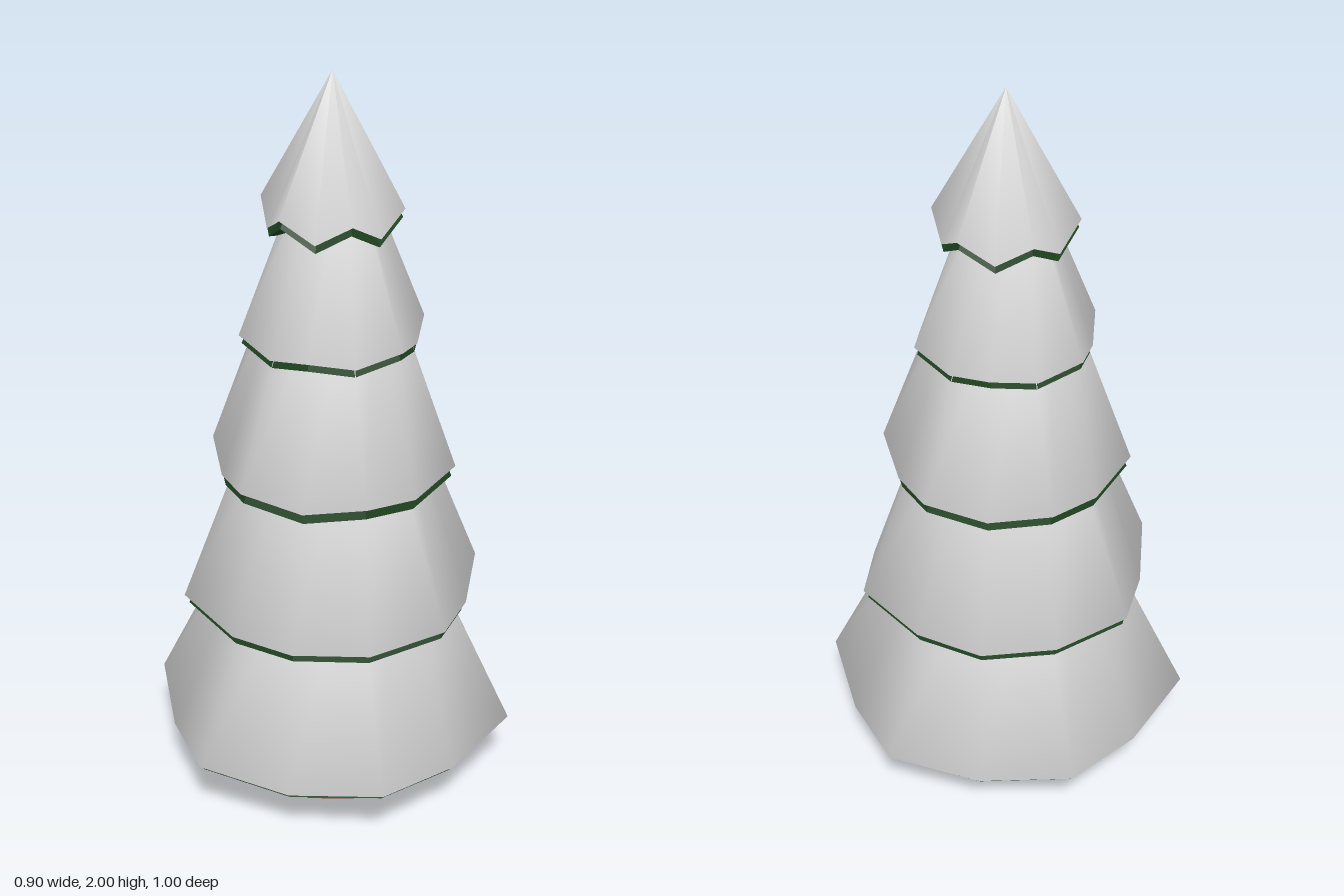
import * as THREE from 'three';

const SIDES = 12;

// Closed skirt: a wavy lower ring of points and dips, a plain upper ring, and an underside
function skirt({ r, tipY, dipY, topR, topY, centreY, turn }) {
  const pos = [], index = [];
  for (const upper of [false, true]) {
    for (let i = 0; i < SIDES; i++) {
      const a = turn + (i / SIDES) * Math.PI * 2;
      const tip = i % 2 === 0;
      const rad = (upper ? topR : r) * (tip ? 1 : 0.905);
      pos.push(rad * Math.sin(a), upper ? topY : tip ? tipY : dipY, rad * Math.cos(a));
    }
  }
  pos.push(0, centreY, 0);
  for (let i = 0; i < SIDES; i++) {
    const j = (i + 1) % SIDES;
    index.push(i, j, SIDES + j, SIDES * 2, j, i);
    if (topR > 0) index.push(i, SIDES + j, SIDES + i);
  }
  const g = new THREE.BufferGeometry();
  g.setAttribute('position', new THREE.Float32BufferAttribute(pos, 3));
  g.setIndex(index);
  g.computeVertexNormals();
  return g;
}

function flat(geometry) {
  const g = geometry.toNonIndexed();
  g.computeVertexNormals();
  return g;
}

export function createModel() {
  const tree = new THREE.Group();
  tree.name = 'snowyTree';
  const material = (name, color) => {
    const m = new THREE.MeshStandardMaterial({ color });
    m.name = name;
    return m;
  };
  const snow = material('snow', 0xeeeeee);
  const needles = material('needles', 0x1f4220);
  const bark = material('bark', 0x7a4a36);

  const add = (parent, name, geometry, mat) => {
    const mesh = new THREE.Mesh(geometry, mat);
    mesh.name = name;
    parent.add(mesh);
  };

  // Trunk, narrowing towards the branches
  const profile = [[0, 0], [0.235, 0], [0.215, 0.1], [0.175, 0.19], [0.16, 0.3]];
  add(tree, 'trunk', flat(new THREE.LatheGeometry(profile.map(([x, y]) => new THREE.Vector2(x, y)), 12)), bark);

  // Branch tiers: edge radius, point height, dip height, top radius, top height, needle drop
  const tiers = [
    [0.5, 0.205, 0.175, 0.22, 0.78, 0.015],
    [0.41, 0.588, 0.557, 0.2, 1.12, 0.025],
    [0.33, 0.968, 0.938, 0.155, 1.45, 0.03],
    [0.245, 1.332, 1.305, 0.08, 1.75, 0.022],
    [0.185, 1.665, 1.612, 0, 2, 0.022],
  ];
  tiers.forEach(([r, tipY, dipY, topR, topY, drop], k) => {
    const tier = new THREE.Group();
    tier.name = `tier${k + 1}`;
    const turn = 0.02 + (k % 2) * (Math.PI / 6);
    add(tier, 'snowLayer', skirt({ r, tipY, dipY, topR, topY, centreY: tipY + 0.02, turn }), snow);
    // Needles peeking out beneath the snow
    add(tier, 'needleLayer', flat(skirt({
      r: r * 0.97, tipY: tipY - drop, dipY: dipY - drop,
      topR: topR * 0.92, topY: topY - 0.06, centreY: dipY - drop, turn,
    })), needles);
    tree.add(tier);
  });
  return tree;
}
